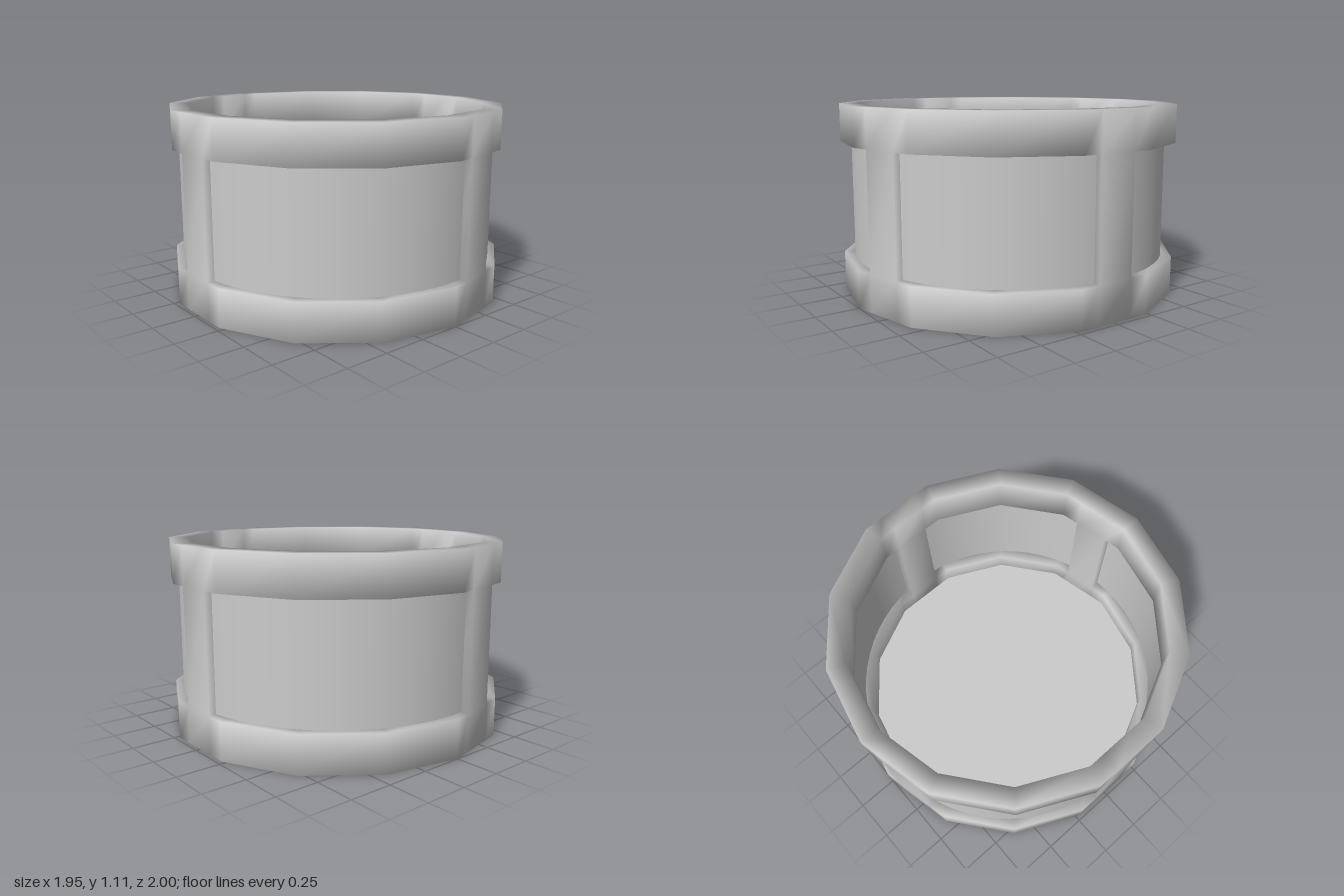
import * as THREE from 'three';

const SIDES = 14;
const R_OUT = 1.0, R_IN = 0.89, R_WALL = 0.935;
const LEVELS = [0, 0.22, 0.89, 1.11];   // bottom band, window, top band
const POST_SIDES = [0, 3, 7, 10];       // facets that carry an upright post
const FLOOR_Y = 0.1;

// Faceted frame: two bands joined by four posts, with windows between them
function frameGeometry() {
  // Plan points as unit corners; facets with a post are split at 1/4 and 3/4
  const corner = k => {
    const a = (k / SIDES) * Math.PI * 2;
    return new THREE.Vector2(Math.sin(a), Math.cos(a));
  };
  const columns = [];
  for (let k = 0; k < SIDES; k++) {
    const a = corner(k), b = corner(k + 1);
    columns.push({ p: a, post: false });
    if (POST_SIDES.includes(k)) {
      columns.push({ p: a.clone().lerp(b, 0.25), post: true });
      columns.push({ p: a.clone().lerp(b, 0.75), post: false });
    }
  }

  // Eight points per column: outer and inner at each level
  const positions = [], index = [];
  for (const { p } of columns) {
    for (const r of [R_OUT, R_IN]) {
      for (const y of LEVELS) positions.push(p.x * r, y, p.y * r);
    }
  }
  const quad = (a, b, c, d) => index.push(a, b, c, a, c, d);

  columns.forEach(({ post }, n) => {
    const i = n * 8, j = ((n + 1) % columns.length) * 8;
    const shell = l => {
      quad(i + l, j + l, j + l + 1, i + l + 1);
      quad(j + 4 + l, i + 4 + l, i + 5 + l, j + 5 + l);
    };
    const up = l => quad(i + l, j + l, j + 4 + l, i + 4 + l);
    const down = l => quad(i + 4 + l, j + 4 + l, j + l, i + l);
    shell(0);
    shell(2);
    down(0);
    up(3);
    if (post) {
      shell(1);
      quad(i + 5, i + 1, i + 2, i + 6);
      quad(j + 1, j + 5, j + 6, j + 2);
    } else {
      up(1);
      down(2);
    }
  });

  const geometry = new THREE.BufferGeometry();
  geometry.setAttribute('position', new THREE.Float32BufferAttribute(positions, 3));
  geometry.setIndex(index);
  geometry.computeVertexNormals();
  return geometry;
}

export function createModel() {
  const model = new THREE.Group();
  model.name = 'windowedRing';
  const solid = new THREE.MeshStandardMaterial({ color: 0xcccccc });
  const thin = new THREE.MeshStandardMaterial({ color: 0xcccccc, side: THREE.DoubleSide });

  const add = (name, geometry, material) => {
    const mesh = new THREE.Mesh(geometry, material);
    mesh.name = name;
    model.add(mesh);
    return mesh;
  };

  add('frame', frameGeometry(), solid);

  // Thin round wall seen through the windows, hidden in the bands at both ends
  const wallTop = 1.0;
  const wall = add('wall',
    new THREE.CylinderGeometry(R_WALL, R_WALL, wallTop - FLOOR_Y, 64, 1, true), thin);
  wall.position.y = (wallTop + FLOOR_Y) / 2;

  // Flat floor inside the bottom band
  const floor = add('floor', new THREE.CircleGeometry(R_WALL, 64), thin);
  floor.rotation.x = -Math.PI / 2;
  floor.position.y = FLOOR_Y;

  return model;
}
